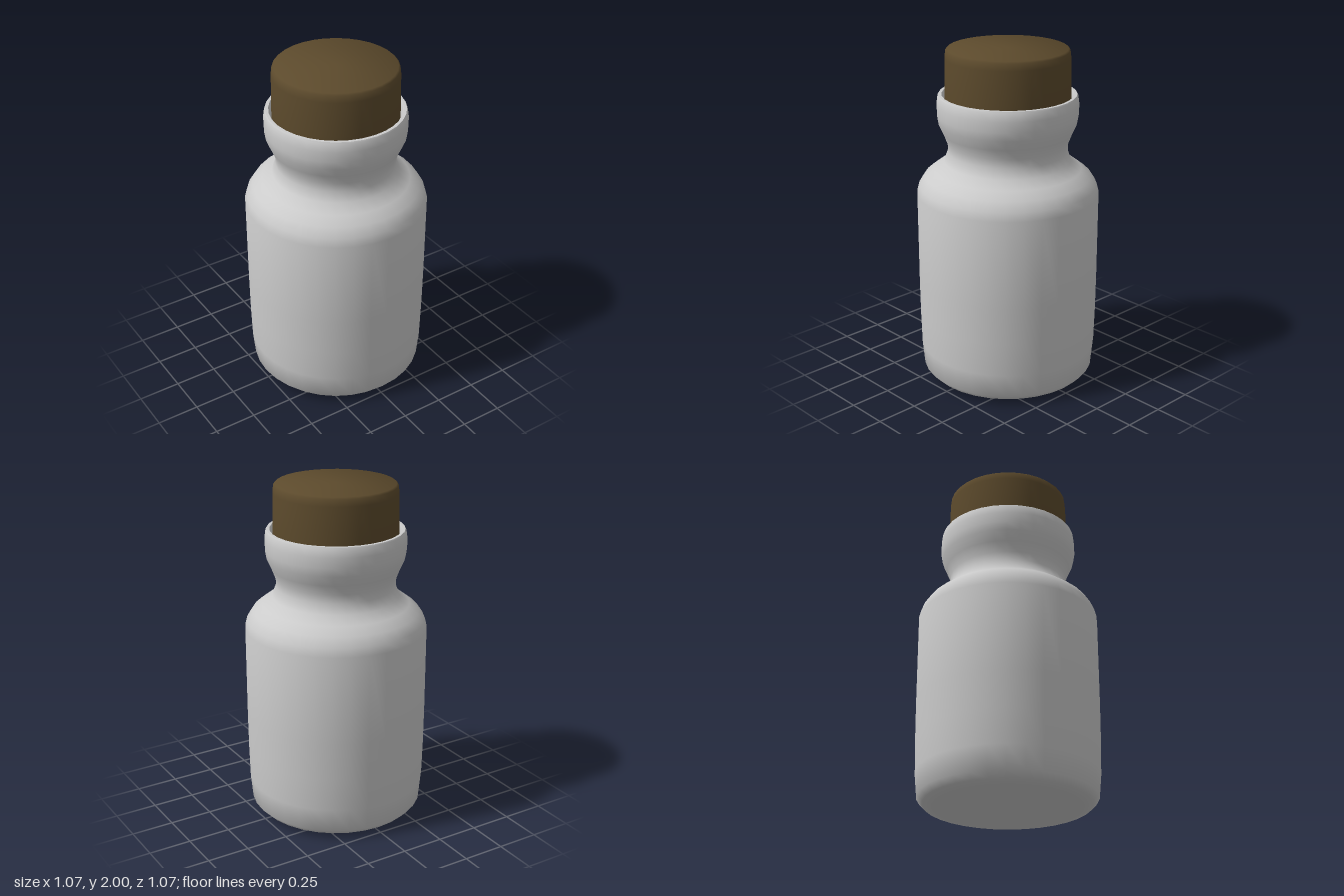
import * as THREE from 'three';
import { toCreasedNormals } from 'three/addons/utils/BufferGeometryUtils.js';

const SEGMENTS = 32;

// Turned part from [radius, height] pairs, listed from the bottom upwards
function turned(name, profile, color, crease) {
  const points = profile.map(([r, y]) => new THREE.Vector2(r, y));
  const geometry = toCreasedNormals(new THREE.LatheGeometry(points, SEGMENTS), crease);
  const material = new THREE.MeshStandardMaterial({ color, side: THREE.DoubleSide });
  const mesh = new THREE.Mesh(geometry, material);
  mesh.name = name;
  return mesh;
}

export function createModel() {
  const group = new THREE.Group();
  group.name = 'corkedBottle';

  // Bottle: base, straight body, shoulder, pinched neck, bulging collar, inner wall
  group.add(turned('bottle', [
    [0, 0], [0.42, 0.01], [0.48, 0.025], [0.513, 0.06],
    [0.526, 0.2], [0.531, 0.4], [0.533, 0.62], [0.533, 1.15],
    [0.52, 1.2], [0.485, 1.253], [0.43, 1.295], [0.37, 1.34],
    [0.348, 1.4], [0.35, 1.45], [0.373, 1.51], [0.4, 1.57],
    [0.408, 1.62], [0.409, 1.68], [0.402, 1.73], [0.397, 1.738],
    [0.379, 1.738], [0.373, 1.73], [0.373, 1.62], [0.345, 1.53],
    [0.325, 1.45], [0.325, 1.4],
  ], 0xcccccc, 0.9));

  // Stopper: slightly tapered plug with a small bevel at the top edge
  group.add(turned('corkStopper', [
    [0, 1.42], [0.32, 1.42], [0.335, 1.53], [0.362, 1.62],
    [0.362, 1.75], [0.358, 1.95], [0.353, 1.99], [0.343, 2], [0, 2],
  ], 0x5c4a2c, 0.9));

  return group;
}
